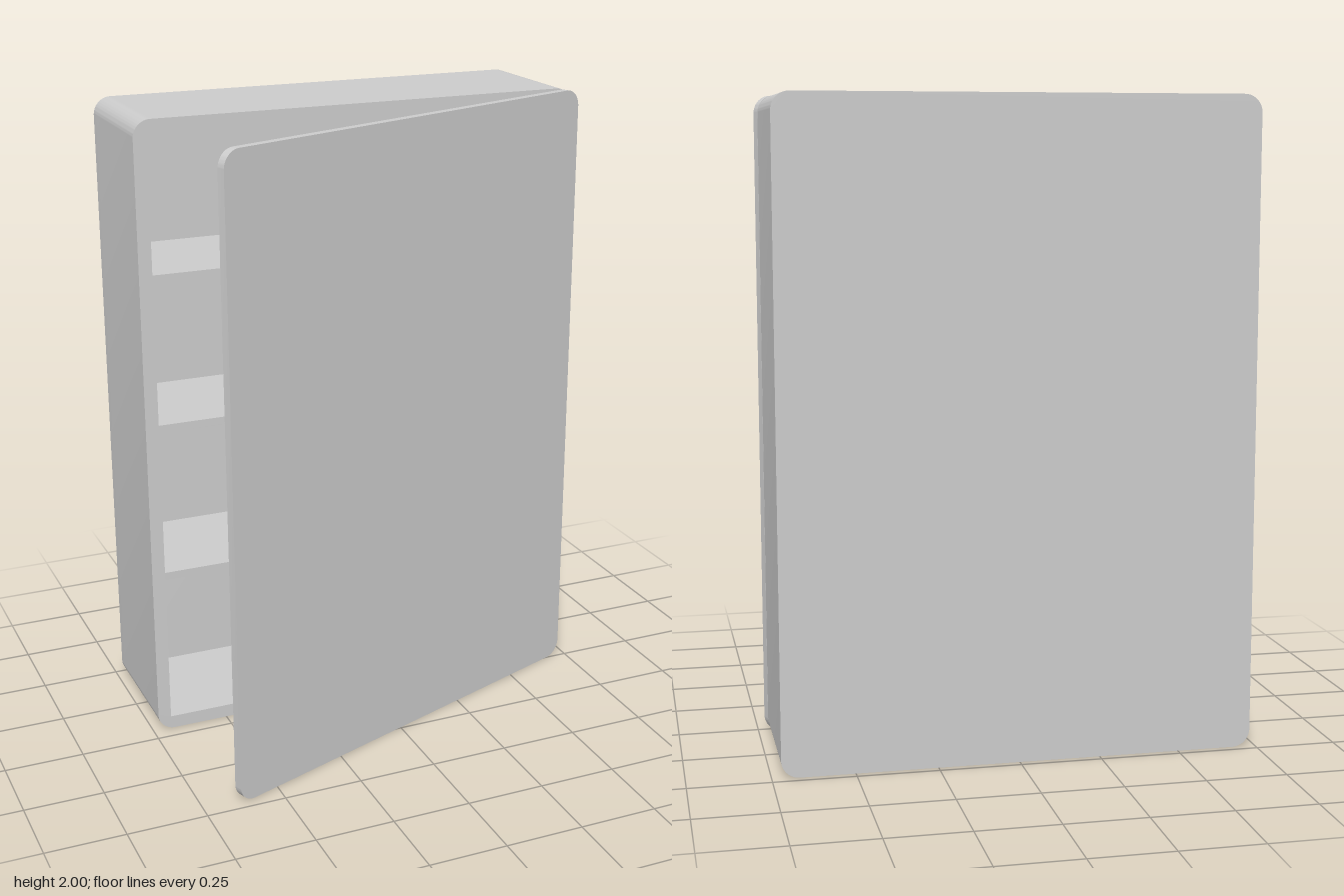
import * as THREE from 'three';
import { toCreasedNormals } from 'three/addons/utils/BufferGeometryUtils.js';

const W = 1.454, H = 2, R = 0.055;          // outer panel size and corner radius
const WALL = 0.042, BACK_Z = -0.476, FRONT_Z = -0.05, BACK = 0.026;
const CX = -0.005;                          // cabinet centre in x

// Rounded rectangle with its lower left corner at (x, y)
function roundedRect(x, y, w, h, r) {
  const s = new THREE.Shape();
  s.absarc(x + w - r, y + r, r, -Math.PI / 2, 0);
  s.absarc(x + w - r, y + h - r, r, 0, Math.PI / 2);
  s.absarc(x + r, y + h - r, r, Math.PI / 2, Math.PI);
  s.absarc(x + r, y + r, r, Math.PI, Math.PI * 1.5);
  s.closePath();
  return s;
}

function extrude(shape, depth) {
  const g = new THREE.ExtrudeGeometry(shape, { depth, bevelEnabled: false, curveSegments: 10 });
  return toCreasedNormals(g, Math.PI / 6);
}

export function createModel() {
  const model = new THREE.Group();
  model.name = 'cabinet';
  const material = new THREE.MeshStandardMaterial({ color: 0xcccccc });
  const add = (parent, name, geometry, x, y, z) => {
    const mesh = new THREE.Mesh(geometry, material);
    mesh.name = name;
    mesh.position.set(x, y, z);
    parent.add(mesh);
    return mesh;
  };

  // Open frame: rounded outside, square opening
  const frame = roundedRect(-W / 2, 0, W, H, R);
  const iw = W - 2 * WALL, ih = H - 2 * WALL;
  frame.holes.push(new THREE.Path([
    new THREE.Vector2(-iw / 2, WALL), new THREE.Vector2(-iw / 2, WALL + ih),
    new THREE.Vector2(iw / 2, WALL + ih), new THREE.Vector2(iw / 2, WALL),
  ]));
  add(model, 'frame', extrude(frame, FRONT_Z - BACK_Z - BACK), CX, 0, BACK_Z + BACK);

  // Back panel
  add(model, 'backPanel', extrude(roundedRect(-W / 2, 0, W, H, R), BACK), CX, 0, BACK_Z);

  // Three shelves
  const shelfDepth = FRONT_Z - BACK_Z - BACK;
  for (const y of [0.543, 1.04, 1.518]) {
    add(model, 'shelf', new THREE.BoxGeometry(iw, 0.026, shelfDepth), CX, y, BACK_Z + BACK + shelfDepth / 2);
  }

  // Door, swung open about its left edge
  const hinge = new THREE.Group();
  hinge.name = 'doorHinge';
  hinge.position.set(0.722, 0, -0.045);
  hinge.rotation.y = THREE.MathUtils.degToRad(20);
  add(hinge, 'door', extrude(roundedRect(-W, 0, W, H, R), 0.027), 0, 0, 0);
  model.add(hinge);

  return model;
}
